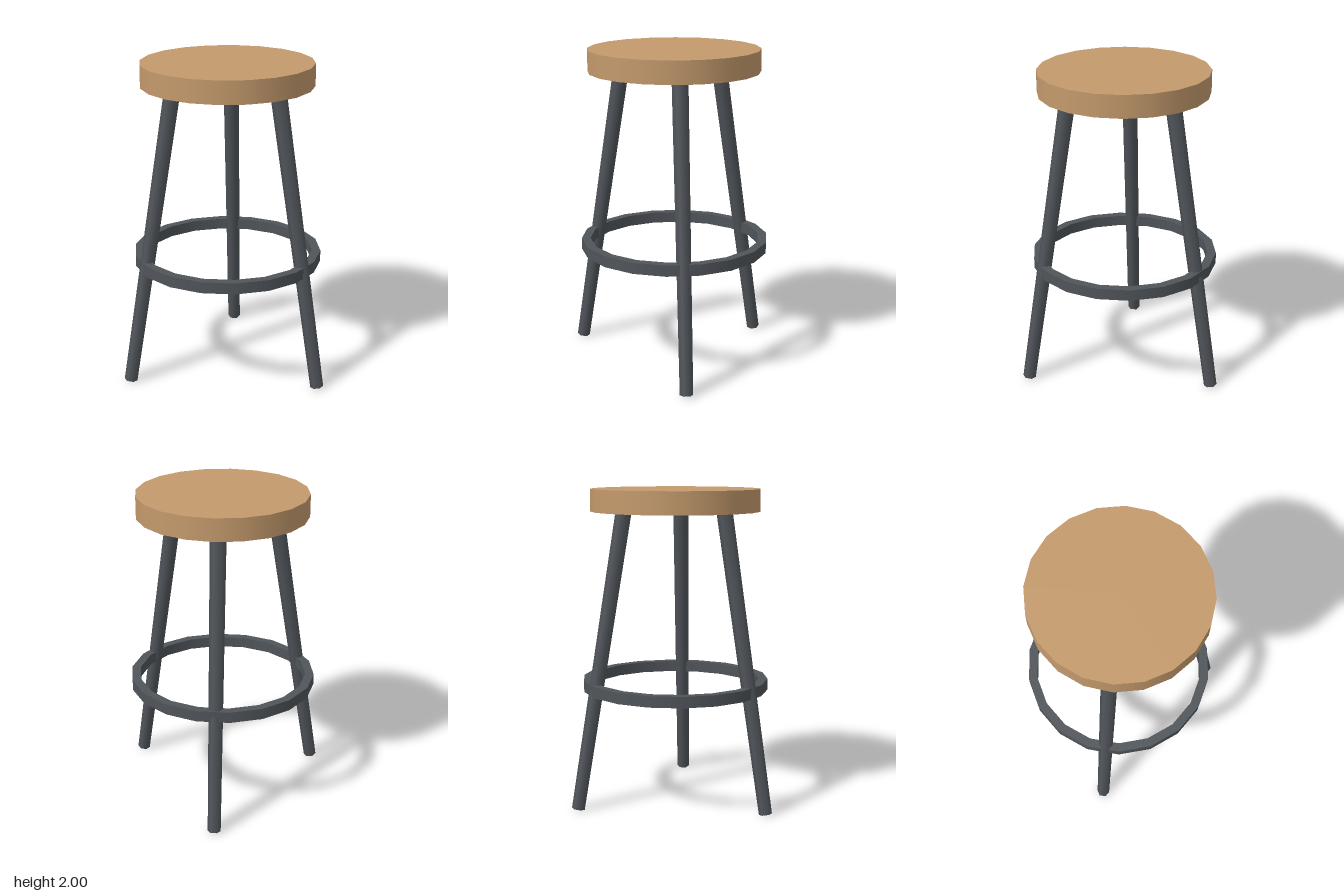
import * as THREE from 'three';
import { mergeGeometries } from 'three/addons/utils/BufferGeometryUtils.js';

const CX = -0.01, CZ = 0.065; // centre of seat and foot ring

// Rectangular-section ring: one lathe per wall keeps the corners sharp
function ringGeometry(inner, outer, y0, y1, sides) {
  const profile = [[inner, y0], [outer, y0], [outer, y1], [inner, y1], [inner, y0]]
    .map(([x, y]) => new THREE.Vector2(x, y));
  const walls = [];
  for (let i = 0; i < 4; i++) {
    walls.push(new THREE.LatheGeometry([profile[i], profile[i + 1]], sides));
  }
  return mergeGeometries(walls).rotateY(Math.PI / 2);
}

// Tapered six-sided leg with one flat facing outward
function makeLeg(name, foot, top, material) {
  const a = new THREE.Vector3(...foot), b = new THREE.Vector3(...top);
  const axis = b.clone().sub(a);
  const geometry = new THREE.CylinderGeometry(0.05, 0.041, axis.length(), 6);
  geometry.rotateY(Math.atan2(axis.z, -axis.x));
  const leg = new THREE.Mesh(geometry, material);
  leg.name = name;
  leg.quaternion.setFromUnitVectors(new THREE.Vector3(0, 1, 0), axis.normalize());
  leg.position.copy(a).add(b).multiplyScalar(0.5);
  return leg;
}

export function createModel() {
  const wood = new THREE.MeshStandardMaterial({ color: 0xc49a6c });
  wood.name = 'wood';
  const metal = new THREE.MeshStandardMaterial({ color: 0x50555a });
  metal.name = 'dark metal';

  const stool = new THREE.Group();
  stool.name = 'stool';

  // Round seat
  const seat = new THREE.Mesh(new THREE.CylinderGeometry(0.535, 0.535, 0.14, 20), wood);
  seat.name = 'seat';
  seat.position.set(CX, 1.93, CZ);
  stool.add(seat);

  // Foot ring
  const ring = new THREE.Mesh(ringGeometry(0.538, 0.594, 0.728, 0.798, 18), metal);
  ring.name = 'footRing';
  ring.position.set(CX, 0, CZ);
  stool.add(ring);

  // Three splayed legs, running up into the seat
  stool.add(
    makeLeg('backLeg', [-0.027, 0.007, -0.612], [-0.02, 1.93, -0.278], metal),
    makeLeg('leftLeg', [0.588, 0.007, 0.4], [0.3, 1.93, 0.243], metal),
    makeLeg('rightLeg', [-0.595, 0.007, 0.418], [-0.31, 1.93, 0.248], metal),
  );
  return stool;
}
